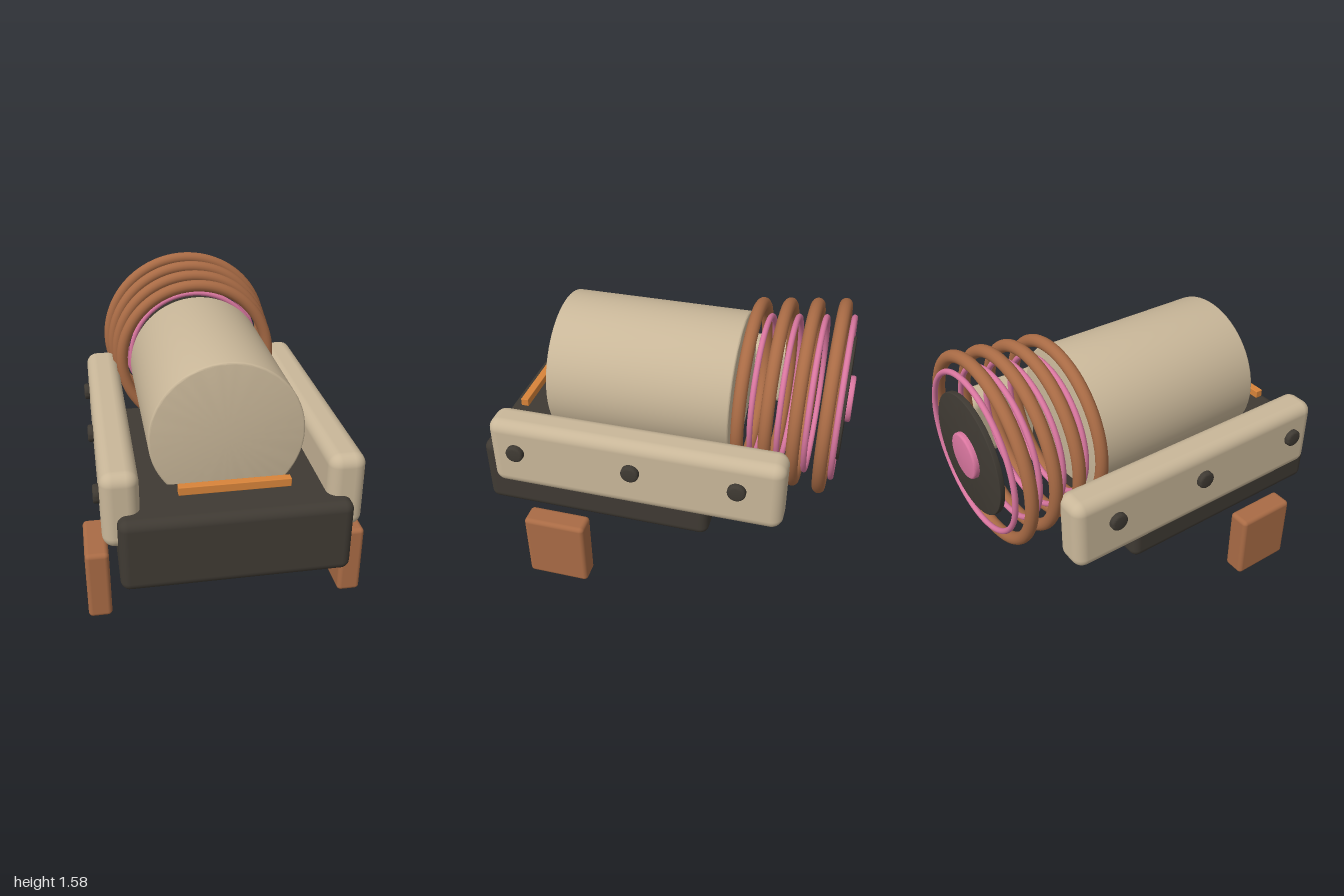
import * as THREE from 'three';
import { RoundedBoxGeometry } from 'three/addons/geometries/RoundedBoxGeometry.js';
import { toCreasedNormals } from 'three/addons/utils/BufferGeometryUtils.js';

const paint = (name, color) => {
  const m = new THREE.MeshStandardMaterial({ color });
  m.name = name;
  return m;
};

export function createModel() {
  const model = new THREE.Group();
  model.name = 'coilCannon';
  const beige = paint('beige', 0xc9b799);
  const dark = paint('charcoal', 0x3f3a33);
  const copper = paint('copper', 0xa96b45);
  const pink = paint('pink', 0xd9769f);
  const orange = paint('orange', 0xd8843a);

  const add = (name, geometry, material, x, y, z) => {
    const mesh = new THREE.Mesh(geometry, material);
    mesh.name = name;
    mesh.position.set(x, y, z);
    model.add(mesh);
    return mesh;
  };

  // Box given by its limits on each axis, with rounded edges
  const block = (name, material, [x0, x1], [y0, y1], [z0, z1], radius) =>
    add(name, new RoundedBoxGeometry(x1 - x0, y1 - y0, z1 - z0, 4, radius), material,
      (x0 + x1) / 2, (y0 + y1) / 2, (z0 + z1) / 2);

  // Solid disc or drum along y, with rounded rims
  const drum = (radius, length, bevel) => {
    const h = length / 2;
    const points = [new THREE.Vector2(0, -h)];
    for (const [cy, start] of [[-h + bevel, -Math.PI / 2], [h - bevel, 0]]) {
      for (let i = 0; i <= 4; i++) {
        const a = start + (i / 4) * Math.PI / 2;
        points.push(new THREE.Vector2(radius - bevel + bevel * Math.cos(a), cy + bevel * Math.sin(a)));
      }
    }
    points.push(new THREE.Vector2(0, h));
    return toCreasedNormals(new THREE.LatheGeometry(points, 64), 0.45);
  };

  const axisY = 1.036;
  const axial = (name, material, radius, z0, z1, bevel) => {
    add(name, drum(radius, z1 - z0, bevel), material, 0, axisY, (z0 + z1) / 2).rotation.x = Math.PI / 2;
  };

  // Chassis, main drum and front bar
  block('base', dark, [-0.6, 0.6], [0.37, 0.78], [-0.32, 1], 0.05);
  axial('mainDrum', beige, 0.412, -0.378, 0.66, 0.012);
  block('frontBar', orange, [-0.288, 0.288], [0.847, 0.893], [0.84, 0.885], 0.004);

  // Side rails, bolts and feet, mirrored
  for (const s of [-1, 1]) {
    const side = s > 0 ? 'left' : 'right';
    const span = (a, b) => (s > 0 ? [a, b] : [-b, -a]);
    block(side + 'Rail', beige, span(0.48, 0.676), [0.575, 1], [-0.735, 0.915], 0.065);
    block(side + 'Foot', copper, span(0.645, 0.775), [0, 0.413], [0.357, 0.715], 0.025);
    for (const z of [0.753, 0.092, -0.488]) {
      add(side + 'Bolt', drum(0.05, 0.05, 0.014), dark, s * 0.683, 0.822, z).rotation.z = Math.PI / 2;
    }
  }

  // Coil: paired rings widening toward the back
  for (let i = 0; i < 4; i++) {
    add('coilRing', new THREE.TorusGeometry(0.462 + i * 0.0167, 0.035, 16, 96), copper,
      0, axisY, -0.435 - i * 0.15);
    add('glowRing', new THREE.TorusGeometry(0.398 + i * 0.0163, 0.016, 12, 96), pink,
      0, axisY, -0.491 - i * 0.15);
  }

  // Rear plate and hub
  axial('rearPlate', dark, 0.345, -0.97, -0.94, 0.004);
  axial('rearHub', pink, 0.13, -1, -0.955, 0.012);

  return model;
}
